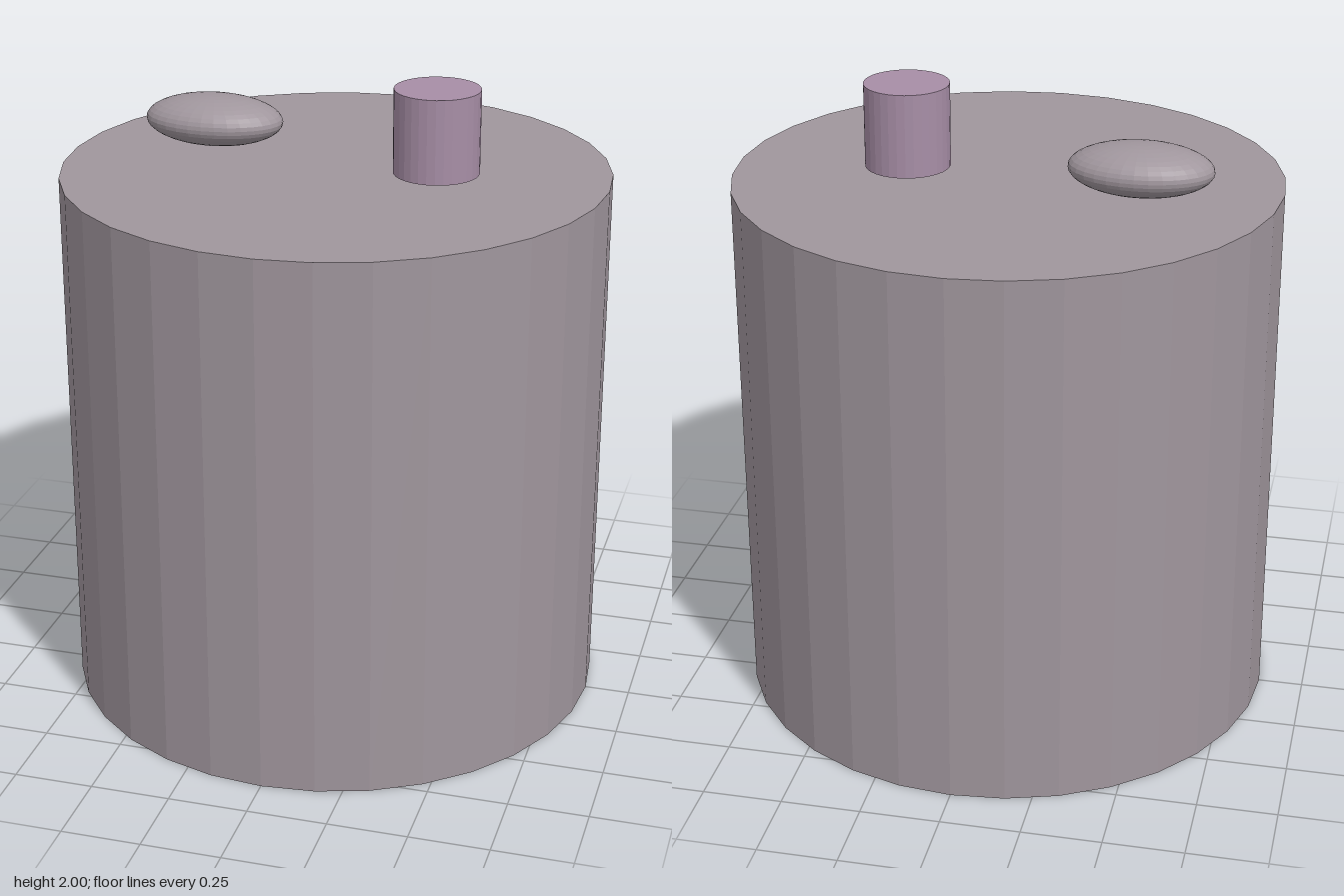
import * as THREE from 'three';

export function createModel() {
  const model = new THREE.Group();
  const stone = new THREE.MeshStandardMaterial({ color: 0xa0969d, flatShading: true });
  stone.name = 'warm grey';
  const mauve = new THREE.MeshStandardMaterial({ color: 0xa78ea6, flatShading: true });
  mauve.name = 'mauve';

  const add = (name, geometry, material, x, y, z) => {
    const mesh = new THREE.Mesh(geometry, material);
    mesh.name = name;
    mesh.position.set(x, y, z);
    model.add(mesh);
  };

  // Large faceted drum standing on the ground
  add('drum', new THREE.CylinderGeometry(0.858, 0.858, 1.72, 32), stone, 0, 0.86, 0);

  // Short peg hovering just above the drum top
  add('peg', new THREE.CylinderGeometry(0.134, 0.134, 0.265, 32), mauve, 0.32, 1.8675, 0);

  // Flattened oval pebble, also just clear of the drum top
  const pebble = new THREE.SphereGeometry(1, 32, 20).scale(0.224, 0.079, 0.143);
  add('pebble', pebble, stone, -0.432, 1.814, -0.11);

  return model;
}
